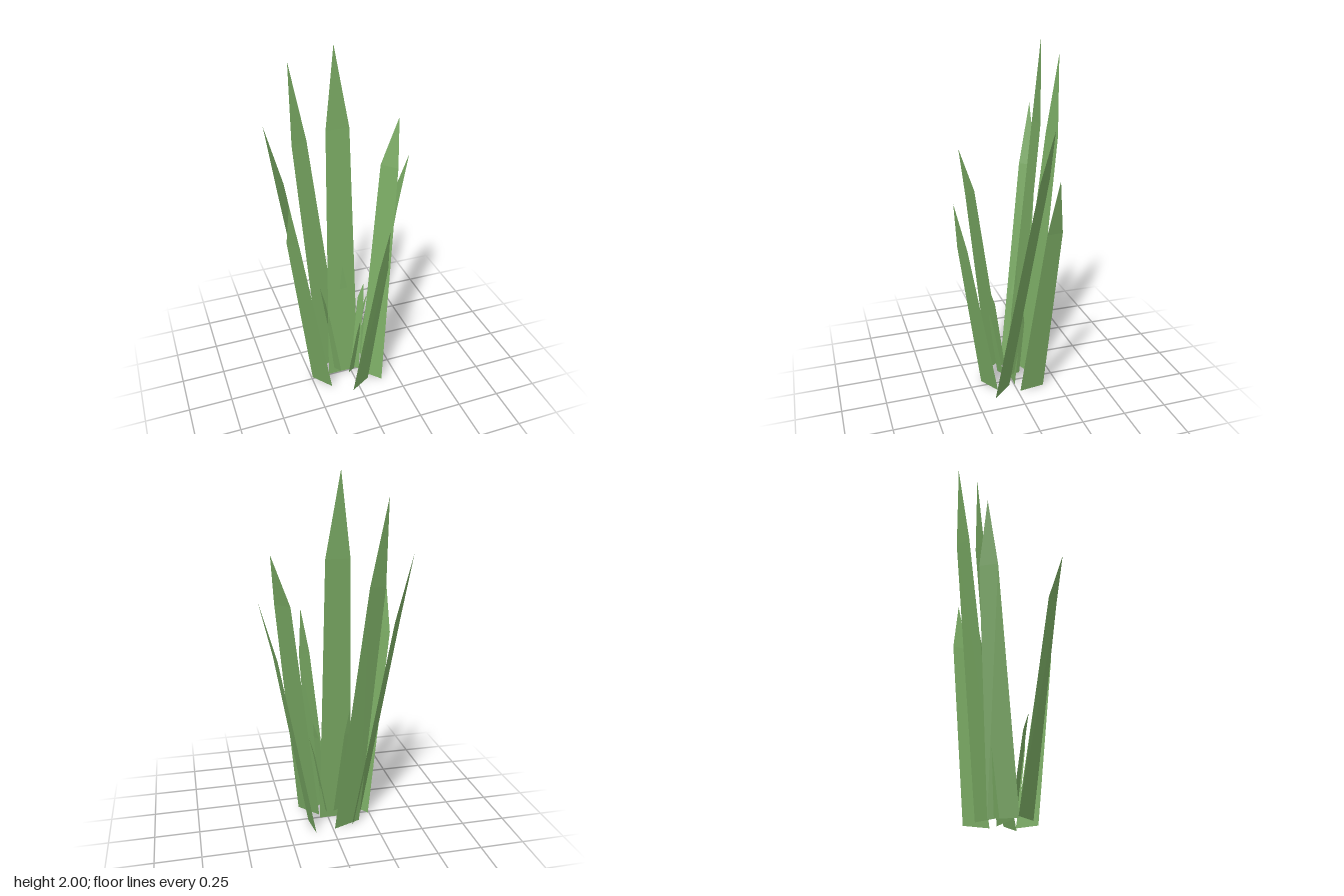
import * as THREE from 'three';

const grassGreen = new THREE.MeshStandardMaterial({ color: 0x78a862, side: THREE.DoubleSide });
grassGreen.name = 'grassGreen';

// Each blade: base edge, shoulder edge and tip as [x, z], with shoulder and tip heights
const BLADES = [
  { name: 'frontBlade', base: [[-0.045, 0.178], [0.075, 0.108]], shoulder: [[0.04, 0.318], [0.11, 0.28]], tip: [0.087, 0.343], heights: [0.925, 1.19] },
  { name: 'rightBlade', base: [[-0.243, -0.012], [-0.155, 0.102]], shoulder: [[-0.388, 0.107], [-0.338, 0.175]], tip: [-0.388, 0.197], heights: [1.085, 1.35] },
  { name: 'backRightBlade', base: [[-0.118, -0.118], [-0.203, 0.01]], shoulder: [[-0.3, -0.242], [-0.357, -0.16]], tip: [-0.394, -0.234], heights: [1.24, 1.59] },
  { name: 'backBlade', base: [[-0.17, -0.078], [-0.01, -0.14]], shoulder: [[-0.235, -0.278], [-0.14, -0.316]], tip: [-0.22, -0.344], heights: [1.44, 1.88] },
  { name: 'centreBlade', base: [[-0.14, -0.004], [0.05, -0.004]], shoulder: [[-0.086, -0.142], [0.046, -0.142]], tip: [-0.028, -0.166], heights: [1.56, 2] },
  { name: 'leftBlade', base: [[0.046, 0.03], [0.15, 0.145]], shoulder: [[0.225, -0.132], [0.297, -0.053]], tip: [0.322, -0.12], heights: [1.32, 1.59] },
  { name: 'backLeftBlade', base: [[0.121, -0.015], [0.102, -0.163]], shoulder: [[0.316, -0.09], [0.305, -0.178]], tip: [0.392, -0.125], heights: [1.05, 1.36] },
];

// A flat tapering strip with a pointed, slightly bent end
function bladeGeometry({ base, shoulder, tip, heights }) {
  const at = ([x, z], y) => [x, y, z];
  const [b0, b1] = base.map((p) => at(p, 0));
  const [s0, s1] = shoulder.map((p) => at(p, heights[0]));
  const t = at(tip, heights[1]);
  const geometry = new THREE.BufferGeometry();
  const corners = [b0, b1, s1, b0, s1, s0, s0, s1, t].flat();
  geometry.setAttribute('position', new THREE.Float32BufferAttribute(corners, 3));
  geometry.computeVertexNormals();
  return geometry;
}

function createTuft(name) {
  const tuft = new THREE.Group();
  tuft.name = name;
  for (const blade of BLADES) {
    const mesh = new THREE.Mesh(bladeGeometry(blade), grassGreen);
    mesh.name = blade.name;
    tuft.add(mesh);
  }
  return tuft;
}

export function createModel() {
  const model = new THREE.Group();
  model.name = 'grassClump';
  model.add(createTuft('tallTuft'));

  // Short inner tuft, a reduced copy of the tall one
  const inner = createTuft('shortTuft');
  inner.scale.setScalar(0.355);
  inner.position.set(-0.023, 0.055, 0.015);
  model.add(inner);
  return model;
}
